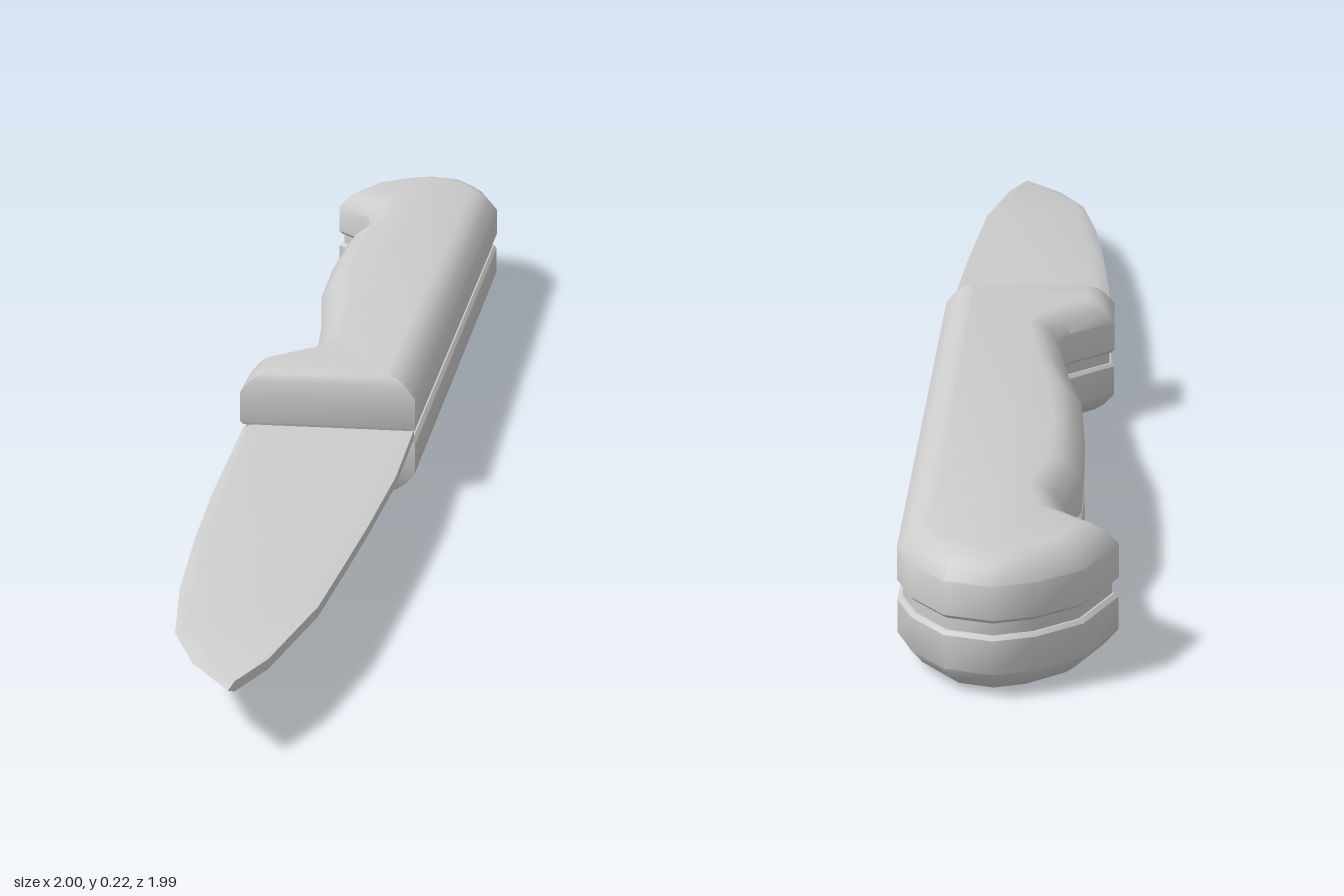
import * as THREE from 'three';
import { toCreasedNormals } from 'three/addons/utils/BufferGeometryUtils.js';

const MID = 0.109; // height of the knife's middle plane
const material = new THREE.MeshStandardMaterial({ color: 0xcccccc });

// Move every edge of a counter-clockwise outline inward by d times its weight.
function inset(points, d, weight) {
  const n = points.length;
  const normal = (i) => {
    const a = points[i], b = points[(i + 1) % n];
    return new THREE.Vector2(a.y - b.y, b.x - a.x).normalize();
  };
  return points.map((p, i) => {
    const prev = (i + n - 1) % n;
    const n1 = normal(prev), n2 = normal(i);
    const a = d * weight(prev), b = d * weight(i);
    const det = n1.x * n2.y - n1.y * n2.x;
    if (Math.abs(det) < 0.01) return p.clone().addScaledVector(n1, a);
    return new THREE.Vector2(
      p.x + (a * n2.y - b * n1.y) / det,
      p.y + (n1.x * b - n2.x * a) / det
    );
  });
}

// Stack inset copies of an outline at rising heights, closed at both ends.
function stack(name, outline, rings, weight = () => 1) {
  const points = outline.map(([x, z]) => new THREE.Vector2(x, -z));
  const n = points.length;
  const layers = rings.map(([, d]) => inset(points, d, weight));
  const positions = [], index = [];
  layers.forEach((layer, k) =>
    layer.forEach((p) => positions.push(p.x, MID + rings[k][0], -p.y)));
  for (let k = 0; k < layers.length - 1; k++) {
    for (let j = 0; j < n; j++) {
      const a = k * n + j, b = k * n + ((j + 1) % n);
      index.push(a, b, b + n, a, b + n, a + n);
    }
  }
  const last = layers.length - 1;
  for (const [a, b, c] of THREE.ShapeUtils.triangulateShape(layers[0], [])) index.push(a, c, b);
  for (const [a, b, c] of THREE.ShapeUtils.triangulateShape(layers[last], [])) {
    index.push(last * n + a, last * n + b, last * n + c);
  }
  const geometry = new THREE.BufferGeometry();
  geometry.setAttribute('position', new THREE.Float32BufferAttribute(positions, 3));
  geometry.setIndex(index);
  const mesh = new THREE.Mesh(toCreasedNormals(geometry, 0.75), material);
  mesh.name = name;
  return mesh;
}

export function createModel() {
  const knife = new THREE.Group();
  knife.name = 'knife';

  // Handle outline [x, z]: spine, rounded butt, finger grip, guard
  const handle = [
    [0.225, 0.03], [-0.73, -0.945], [-0.8, -0.98], [-0.89, -0.995], [-0.96, -0.96],
    [-0.99, -0.9], [-1, -0.81], [-0.955, -0.69], [-0.84, -0.682], [-0.77, -0.63],
    [-0.7, -0.52], [-0.56, -0.375], [-0.41, -0.235], [-0.28, -0.14], [-0.11, 0],
    [-0.09, 0.05], [-0.09, 0.165], [0, 0.255],
  ];
  // The blunt end next to the blade is barely rounded
  const handleWeight = (i) => (i === handle.length - 1 ? 0.3 : 1);

  // Two rounded scales with a narrow seam between them
  const rings = [[0.01, 0.006], [0.016, 0], [0.07, 0], [0.092, 0.018], [0.104, 0.034], [0.109, 0.052]];
  const mirrored = rings.map(([y, d]) => [-y, d]).reverse();
  knife.add(stack('upperHandleScale', handle, rings, handleWeight));
  knife.add(stack('lowerHandleScale', handle, mirrored, handleWeight));
  knife.add(stack('tang', handle, [[-0.012, 0.009], [0.012, 0.009]]));

  // Blade outline [x, z]: cutting edge to the tip, then back along the spine
  const blade = [
    [-0.01, 0.24], [0.25, 0.49], [0.42, 0.645], [0.6, 0.8], [0.76, 0.92], [0.88, 0.97],
    [1, 0.99], [0.95, 0.88], [0.82, 0.69], [0.7, 0.55], [0.57, 0.4], [0.4, 0.21], [0.21, 0.02],
  ];
  // Only the cutting edge is ground to a bevel
  knife.add(stack('blade', blade, [[-0.008, 0.016], [0, 0], [0.008, 0.016]], (i) => (i < 6 ? 1 : 0)));

  return knife;
}
